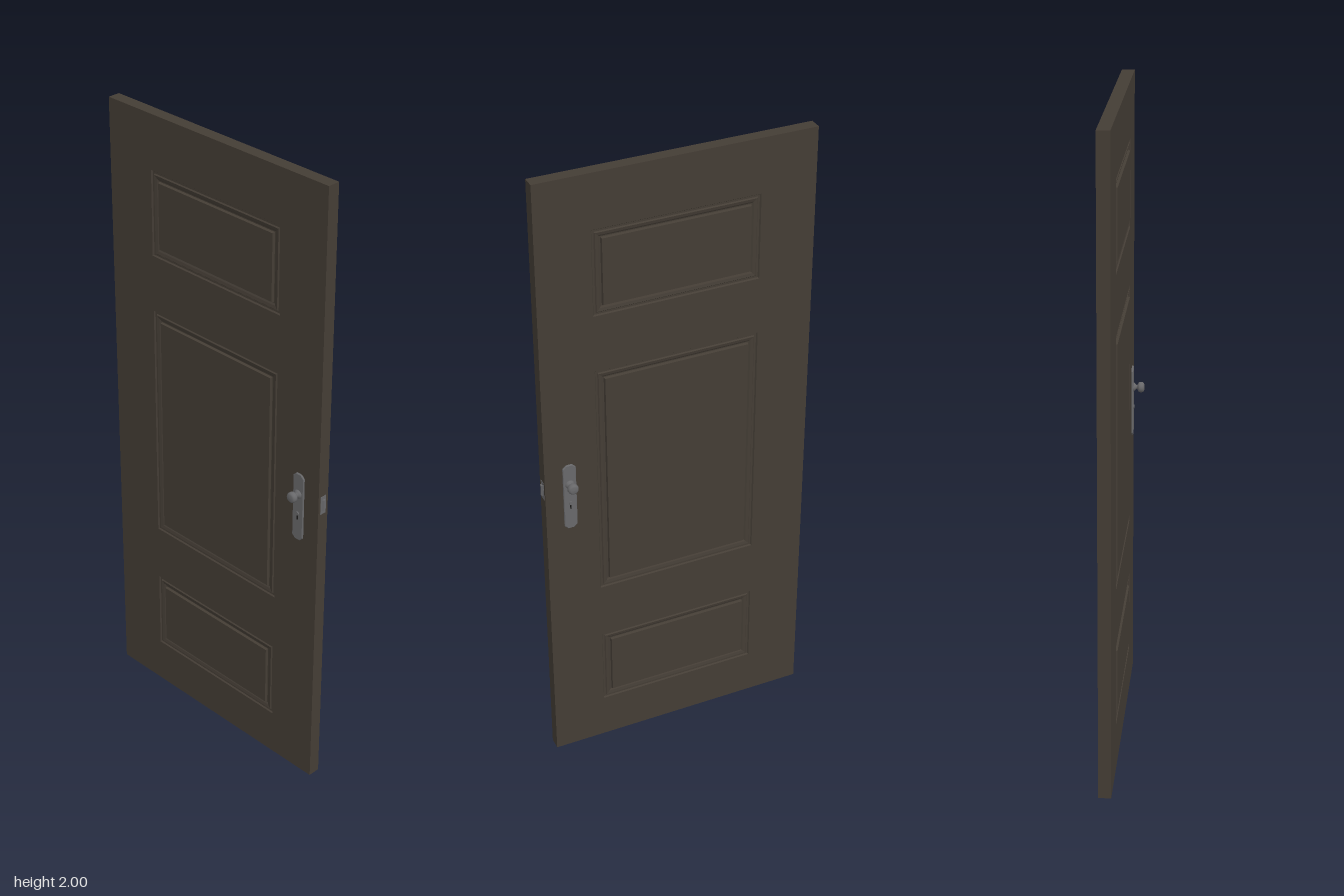
import * as THREE from 'three';

const HALF = 0.0193; // half thickness of the door leaf
const PANELS = [[0.15, 0.415], [0.60, 1.38], [1.56, 1.83]]; // bottom and top of each panel
const PANEL_X = 0.256;

const wood = new THREE.MeshStandardMaterial({ color: 0x443d35 });
wood.name = 'dark wood';
const metal = new THREE.MeshStandardMaterial({ color: 0x68686a });
metal.name = 'grey metal';
const black = new THREE.MeshStandardMaterial({ color: 0x1c1b1a });
black.name = 'black keyhole';

function add(parent, name, geometry, material, x = 0, y = 0, z = 0) {
  const m = new THREE.Mesh(geometry, material);
  m.name = name;
  m.position.set(x, y, z);
  parent.add(m);
  return m;
}

// Moulded panel: nested rectangles stepped in depth, closed by a flat field
function panelGeometry(w, h) {
  const steps = [[0, HALF], [0.003, 0.0150], [0.009, 0.0150], [0.012, 0.0185],
    [0.021, 0.0165], [0.026, 0.0135], [0.029, 0.0135], [0.031, 0.0213]];
  const ring = ([inset, z]) => {
    const x = w / 2 - inset, y = h / 2 - inset;
    return [[-x, -y, z], [x, -y, z], [x, y, z], [-x, y, z]];
  };
  const pos = [];
  const quad = (a, b, c, d) => pos.push(...a, ...b, ...c, ...a, ...c, ...d);
  for (let i = 0; i < steps.length - 1; i++) {
    const o = ring(steps[i]), n = ring(steps[i + 1]);
    for (let k = 0; k < 4; k++) {
      const j = (k + 1) % 4;
      quad(o[k], o[j], n[j], n[k]);
    }
  }
  quad(...ring(steps[steps.length - 1]));
  const g = new THREE.BufferGeometry();
  g.setAttribute('position', new THREE.Float32BufferAttribute(pos, 3));
  g.computeVertexNormals();
  return g;
}

// Handle set for one face, pointing along +z
function handleSet() {
  const g = new THREE.Group();
  g.name = 'handleSet';

  // Back plate with clipped corners
  const w = 0.0205, b = 0.86, t = 1.086, c = 0.011;
  const s = new THREE.Shape([[-w + c, b], [w - c, b], [w, b + c], [w, t - c],
    [w - c, t], [-w + c, t], [-w, t - c], [-w, b + c]].map(p => new THREE.Vector2(...p)));
  const plate = new THREE.ExtrudeGeometry(s, { depth: 0.004, bevelEnabled: true,
    bevelThickness: 0.002, bevelSize: 0.002, bevelOffset: -0.002, bevelSegments: 1 });
  add(g, 'backPlate', plate, metal, 0, 0, HALF - 0.001);

  // Turned knob with collar and neck
  const profile = [[0.0145, 0.023], [0.0135, 0.027], [0.010, 0.030], [0.0065, 0.033],
    [0.0065, 0.036], [0.0105, 0.0385], [0.0150, 0.041], [0.0165, 0.0445], [0.0165, 0.051],
    [0.0145, 0.0555], [0.010, 0.058], [0, 0.0585]];
  const knob = new THREE.LatheGeometry(profile.map(p => new THREE.Vector2(...p)), 20);
  knob.rotateX(Math.PI / 2);
  add(g, 'knob', knob, metal, 0, 1.018, 0);

  // Keyhole with a small swinging cover
  add(g, 'keyhole', new THREE.BoxGeometry(0.004, 0.014, 0.0012), black, 0, 0.937, 0.0243);
  const pin = new THREE.CylinderGeometry(0.006, 0.006, 0.004, 14);
  pin.rotateX(Math.PI / 2);
  add(g, 'keyholeCover', pin, metal, 0, 0.952, 0.0255);
  return g;
}

export function createModel() {
  const model = new THREE.Group();
  model.name = 'door';

  // Door leaf with openings for the panels
  const rect = (T, x0, x1, y0, y1) => new T([[x0, y0], [x1, y0], [x1, y1], [x0, y1]]
    .map(p => new THREE.Vector2(...p)));
  const leaf = rect(THREE.Shape, -0.427, 0.421, 0, 2);
  for (const [y0, y1] of PANELS) leaf.holes.push(rect(THREE.Path, -PANEL_X, PANEL_X, y0, y1));
  add(model, 'doorLeaf', new THREE.ExtrudeGeometry(leaf, { depth: HALF * 2, bevelEnabled: false }),
    wood, 0, 0, -HALF);

  // Panels and handle sets on both faces
  for (const turn of [0, Math.PI]) {
    const side = turn ? 'back' : 'front';
    PANELS.forEach(([y0, y1], i) => {
      const p = add(model, side + ['Lower', 'Middle', 'Upper'][i] + 'Panel',
        panelGeometry(PANEL_X * 2, y1 - y0), wood, 0, (y0 + y1) / 2);
      p.rotation.y = turn;
    });
    const handle = handleSet();
    handle.name = side + 'HandleSet';
    handle.position.x = 0.345;
    handle.rotation.y = turn;
    model.add(handle);
  }

  // Latch in the closing edge
  add(model, 'latchPlate', new THREE.BoxGeometry(0.003, 0.06, 0.022), metal, 0.4203, 1.006, 0);
  const bolt = new THREE.Shape([[0, -0.008], [0.006, -0.002], [0.006, 0.003], [0, 0.008]]
    .map(p => new THREE.Vector2(...p)));
  const boltGeo = new THREE.ExtrudeGeometry(bolt, { depth: 0.036, bevelEnabled: false });
  boltGeo.rotateX(Math.PI / 2);
  add(model, 'latchBolt', boltGeo, metal, 0.421, 1.024, 0);
  return model;
}
